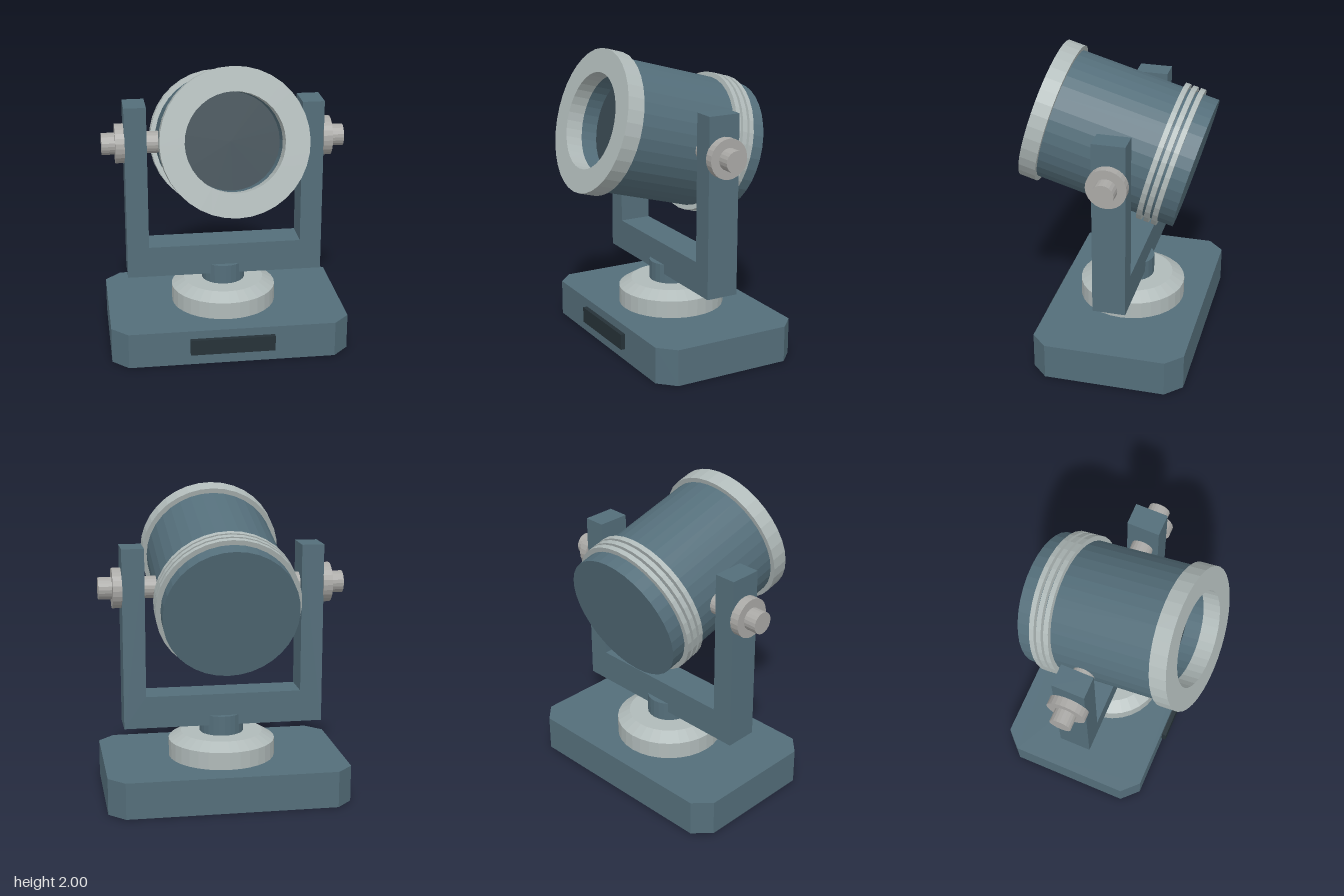
import * as THREE from 'three';

const mat = (color) => new THREE.MeshStandardMaterial({ color, flatShading: true });

export function createModel() {
  const model = new THREE.Group();
  const blue = mat(0x546e7a), light = mat(0xb0bab9), steel = mat(0xaaa9a6), dark = mat(0x263238), glass = mat(0x37474f);
  const axisZ = -0.09, pivotY = 1.385, tilt = THREE.MathUtils.degToRad(15.8);

  const add = (name, geometry, material, parent = model, x = 0, y = 0, z = 0) => {
    const mesh = new THREE.Mesh(geometry, material);
    mesh.name = name;
    mesh.position.set(x, y, z);
    parent.add(mesh);
    return mesh;
  };
  const lathe = (points, segments = 32) =>
    new THREE.LatheGeometry(points.map(([r, y]) => new THREE.Vector2(r, y)), segments);
  const polygon = (points) => new THREE.Shape(points.map(([x, y]) => new THREE.Vector2(x, y)));
  const extrude = (shape, depth) => new THREE.ExtrudeGeometry(shape, { depth, bevelEnabled: false });

  // Base slab with cut corners
  const w = 0.79, d = 0.5, c = 0.105;
  const slab = extrude(polygon([
    [-w + c, -d], [w - c, -d], [w, -d + c], [w, d - c],
    [w - c, d], [-w + c, d], [-w, d - c], [-w, -d + c],
  ]), 0.24);
  slab.rotateX(-Math.PI / 2);
  add('base', slab, blue, model, 0, 0, axisZ);
  add('frontPlate', new THREE.BoxGeometry(0.56, 0.105, 0.06), dark, model, 0, 0.132, 0.41);

  // Turntable and stem
  add('turntable', lathe([[0, 0.24], [0.352, 0.24], [0.352, 0.355], [0.27, 0.405], [0, 0.405]]),
    light, model, 0, 0, axisZ);
  add('stem', new THREE.CylinderGeometry(0.145, 0.145, 0.135, 24), blue, model, 0, 0.467, axisZ);

  // U-shaped yoke
  add('yoke', extrude(polygon([
    [-0.655, 0.47], [0.655, 0.47], [0.655, 1.65], [0.51, 1.65],
    [0.51, 0.68], [-0.51, 0.68], [-0.51, 1.65], [-0.655, 1.65],
  ]), 0.215), blue, model, 0, 0, axisZ - 0.1075);

  // Pivot pins and washers on both sides
  for (const [side, s] of [['left', 1], ['right', -1]]) {
    const pin = new THREE.CylinderGeometry(0.072, 0.072, 0.4, 20).rotateZ(Math.PI / 2);
    const washer = new THREE.CylinderGeometry(0.13, 0.13, 0.06, 24).rotateZ(Math.PI / 2);
    add(side + 'Pin', pin, steel, model, s * 0.6, pivotY, axisZ);
    add(side + 'Washer', washer, steel, model, s * 0.683, pivotY, axisZ);
  }

  // Tilted lamp head, built along its own y axis
  const head = new THREE.Group();
  head.name = 'lampHead';
  head.position.set(0, pivotY, axisZ);
  head.rotation.x = Math.PI / 2 - tilt;
  model.add(head);
  add('drum', lathe([[0, -0.429], [0.434, -0.429], [0.434, 0.5], [0.312, 0.5], [0.312, 0.39]], 36), blue, head);
  add('frontRing', lathe([[0.312, 0.5], [0.466, 0.5], [0.466, 0.613], [0.312, 0.613], [0.312, 0.5]], 36), light, head);
  add('lens', new THREE.CircleGeometry(0.312, 36).rotateX(-Math.PI / 2), glass, head, 0, 0.39, 0);

  // Cooling fins near the back
  for (let i = 0; i < 3; i++) {
    const y = -0.209 - i * 0.051, h = 0.0165;
    add('coolingFin' + (i + 1),
      lathe([[0.42, y - h], [0.466, y - h], [0.466, y + h], [0.42, y + h]], 36), light, head);
  }
  return model;
}
